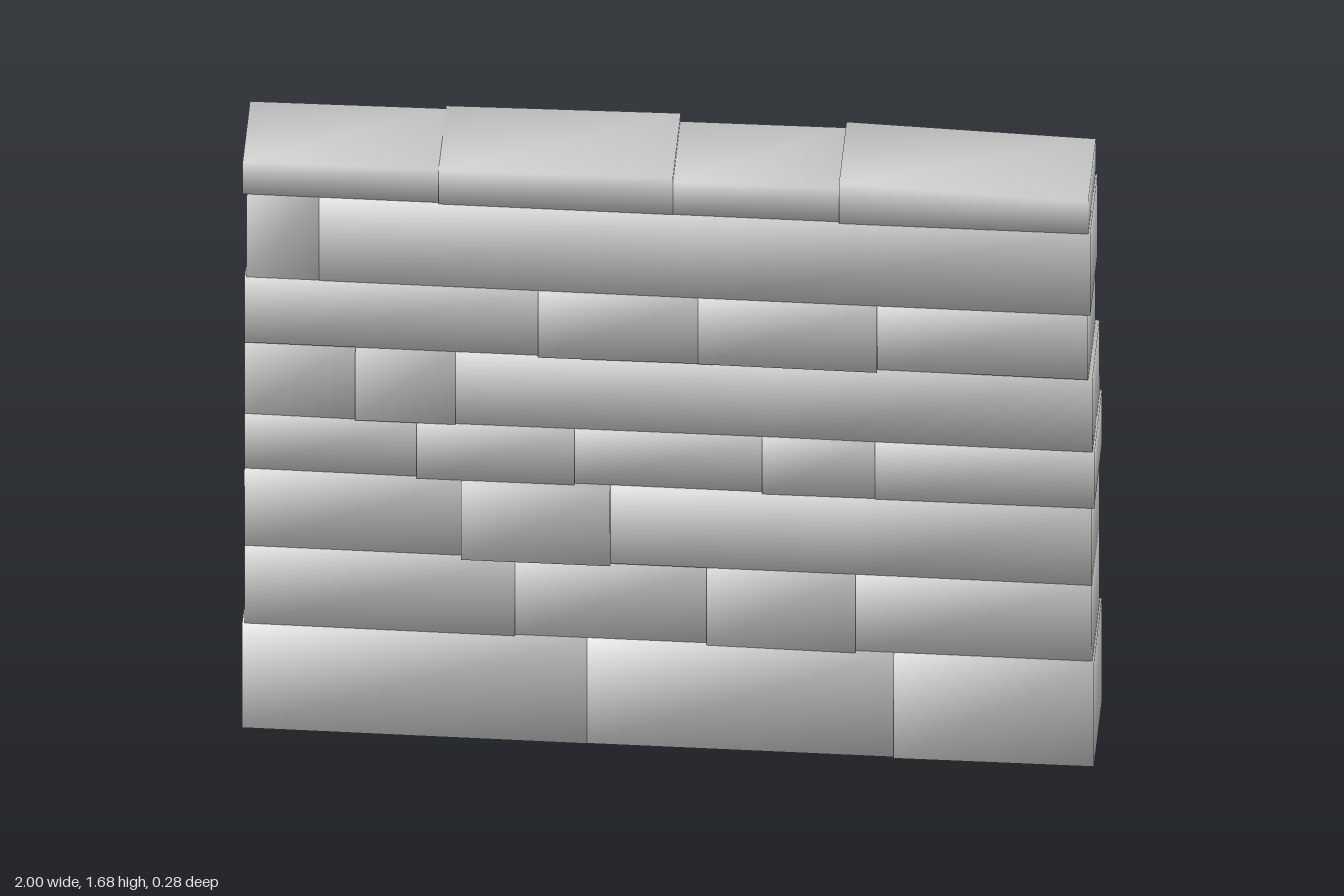
import * as THREE from 'three';
import { mergeVertices } from 'three/addons/utils/BufferGeometryUtils.js';

// Each course: bottom y, top y, joint positions along x, [front, back] z of each block
const courses = [
  { y: [0, 0.305], x: [-1, -0.19, 0.53, 1],
    z: [[0.125, -0.125], [0.125, -0.12], [0.13, -0.125]] },
  { y: [0.305, 0.535], x: [-0.995, -0.36, 0.09, 0.44, 0.995],
    z: [[0.12, -0.12], [0.115, -0.115], [0.125, -0.12], [0.12, -0.12]] },
  { y: [0.535, 0.76], x: [-0.995, -0.485, -0.135, 0.995],
    z: [[0.12, -0.11], [0.135, -0.115], [0.125, -0.11]] },
  { y: [0.76, 0.92], x: [-0.995, -0.59, -0.22, 0.22, 0.485, 1],
    z: [[0.115, -0.12], [0.12, -0.12], [0.115, -0.115], [0.12, -0.12], [0.12, -0.125]] },
  { y: [0.92, 1.135], x: [-0.995, -0.735, -0.5, 0.995],
    z: [[0.11, -0.12], [0.115, -0.115], [0.11, -0.12]] },
  { y: [1.135, 1.325], x: [-0.995, -0.305, 0.07, 0.49, 0.985],
    z: [[0.115, -0.125], [0.12, -0.12], [0.12, -0.125], [0.11, -0.12]] },
  { y: [1.325, 1.565], x: [-0.99, -0.82, 0.99],
    z: [[0.11, -0.12], [0.11, -0.12]] },
  { y: [1.565, 1.665], x: [-1, -0.54, 0.01, 0.4, 0.985],
    z: [[0.105, -0.13], [0.11, -0.14], [0.105, -0.13], [0.11, -0.13]],
    // top height at the left and right end of each coping stone
    tops: [[1.66, 1.665], [1.665, 1.672], [1.66, 1.66], [1.68, 1.66]] },
];

// Small repeatable random numbers for the hand-cut corners
let seed = 7;
const jitter = (amount) => {
  seed = (seed * 16807) % 2147483647;
  return (seed / 2147483647 - 0.5) * 2 * amount;
};

// A stone: a box with shared corners, so the normals blend around its edges
function stone(x0, x1, y0, y1, front, back, tops) {
  const long = x1 - x0 > 1;
  const box = new THREE.BoxGeometry(1, 1, 1, long ? 2 : 1, 1, 1);
  box.deleteAttribute('normal');
  box.deleteAttribute('uv');
  const geometry = mergeVertices(box);
  const p = geometry.attributes.position;
  for (let i = 0; i < p.count; i++) {
    const u = p.getX(i) + 0.5;
    const top = tops ? THREE.MathUtils.lerp(tops[0], tops[1], u) : y1;
    p.setXYZ(
      i,
      THREE.MathUtils.lerp(x0, x1, u),
      p.getY(i) > 0 ? top : y0,
      (p.getZ(i) > 0 ? front : back) + jitter(0.003),
    );
  }
  geometry.computeVertexNormals();
  return geometry;
}

export function createModel() {
  const wall = new THREE.Group();
  wall.name = 'stoneWall';
  const material = new THREE.MeshStandardMaterial({ color: 0xcccccc });

  courses.forEach(({ y, x, z, tops }, row) => {
    const course = new THREE.Group();
    course.name = row === courses.length - 1 ? 'copingCourse' : `course${row + 1}`;
    z.forEach(([front, back], i) => {
      const mesh = new THREE.Mesh(
        stone(x[i], x[i + 1], y[0], y[1], front, back, tops && tops[i]),
        material,
      );
      mesh.name = `stone${i + 1}`;
      course.add(mesh);
    });
    wall.add(course);
  });
  return wall;
}
